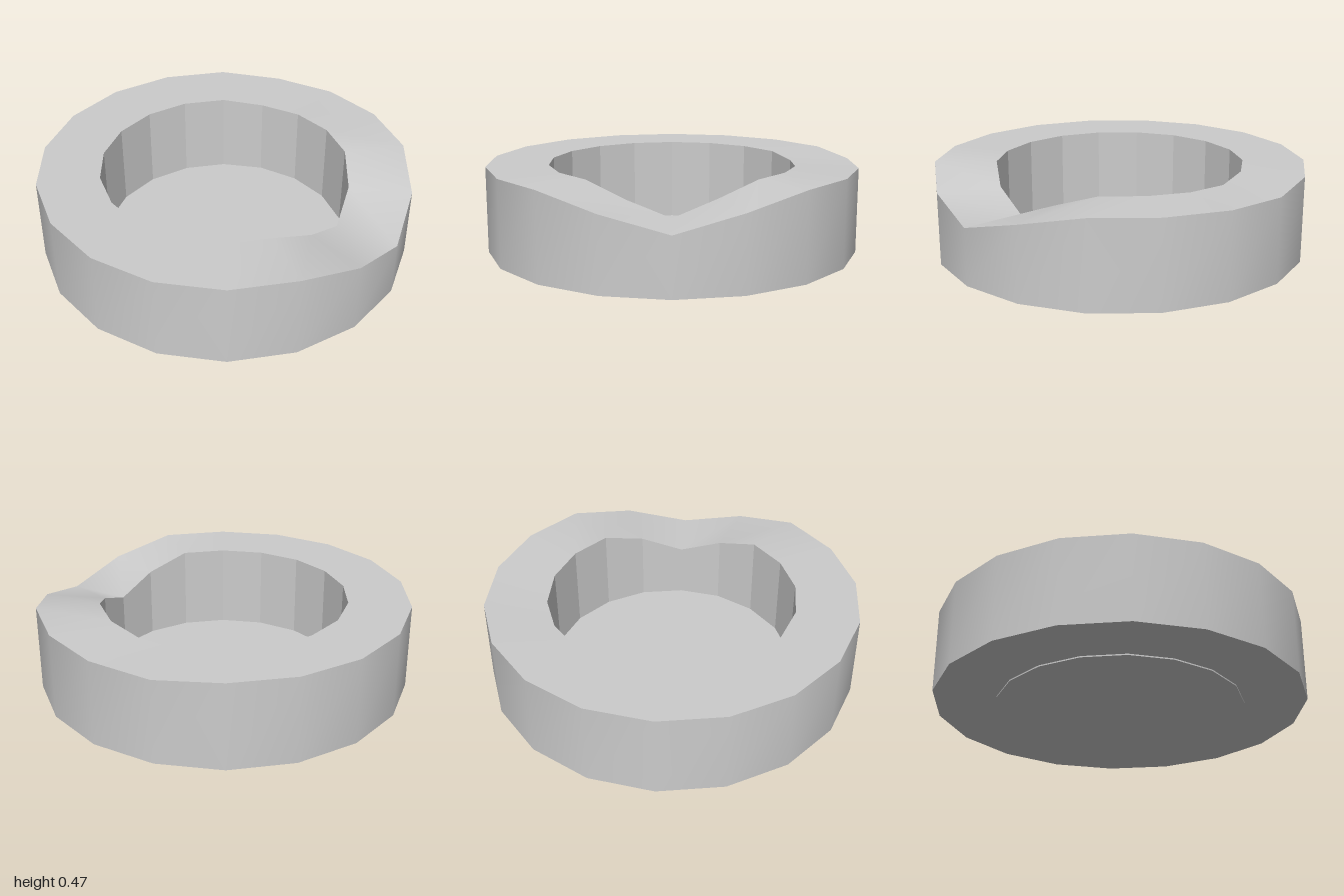
import * as THREE from 'three';

const SIDES = 18, OUTER = 1, INNER = 0.667, BASE = 0.007, RIM = 0.47, FLOOR = 0.01;

// Rim height at each 20 degree step from +x towards +z: a notch, plus a slight sag at the back
const rimHeights = new Array(SIDES).fill(RIM);
Object.assign(rimHeights, { 0: 0.4, 1: 0.31, 2: 0.395, 14: 0.456, 15: 0.464 });

// Closed band of quads between two rings, each given by a radius and a height per step
function band(name, from, to, flatShading = false) {
  const positions = [], index = [];
  for (let i = 0; i < SIDES; i++) {
    const a = (i / SIDES) * Math.PI * 2;
    for (const ring of [from, to]) {
      positions.push(ring.r * Math.cos(a), ring.y(i), ring.r * Math.sin(a));
    }
    const f = 2 * i, n = 2 * ((i + 1) % SIDES);
    index.push(f, f + 1, n, f + 1, n + 1, n);
  }
  const geometry = new THREE.BufferGeometry();
  geometry.setAttribute('position', new THREE.Float32BufferAttribute(positions, 3));
  geometry.setIndex(index);
  geometry.computeVertexNormals();
  const mesh = new THREE.Mesh(geometry, new THREE.MeshStandardMaterial({ color: 0xcccccc, flatShading }));
  mesh.name = name;
  return mesh;
}

export function createModel() {
  const group = new THREE.Group();
  group.name = 'notchedBowl';

  const outerBottom = { r: OUTER, y: () => BASE };
  const outerTop = { r: OUTER, y: (i) => rimHeights[i] };
  const innerTop = { r: INNER, y: (i) => rimHeights[i] };
  const innerBottom = { r: INNER, y: () => BASE };

  // Ring surfaces
  group.add(
    band('outerWall', outerBottom, outerTop),
    band('rim', outerTop, innerTop),
    band('innerWall', innerTop, innerBottom, true),
    band('underside', innerBottom, outerBottom)
  );

  // Thin floor disc, turned so its corners meet the inner wall
  const floorGeometry = new THREE.CylinderGeometry(INNER, INNER, FLOOR, SIDES);
  floorGeometry.rotateY(Math.PI / 2);
  floorGeometry.translate(0, FLOOR / 2, 0);
  const floor = new THREE.Mesh(floorGeometry, new THREE.MeshStandardMaterial({ color: 0xcccccc }));
  floor.name = 'floor';
  group.add(floor);

  return group;
}
